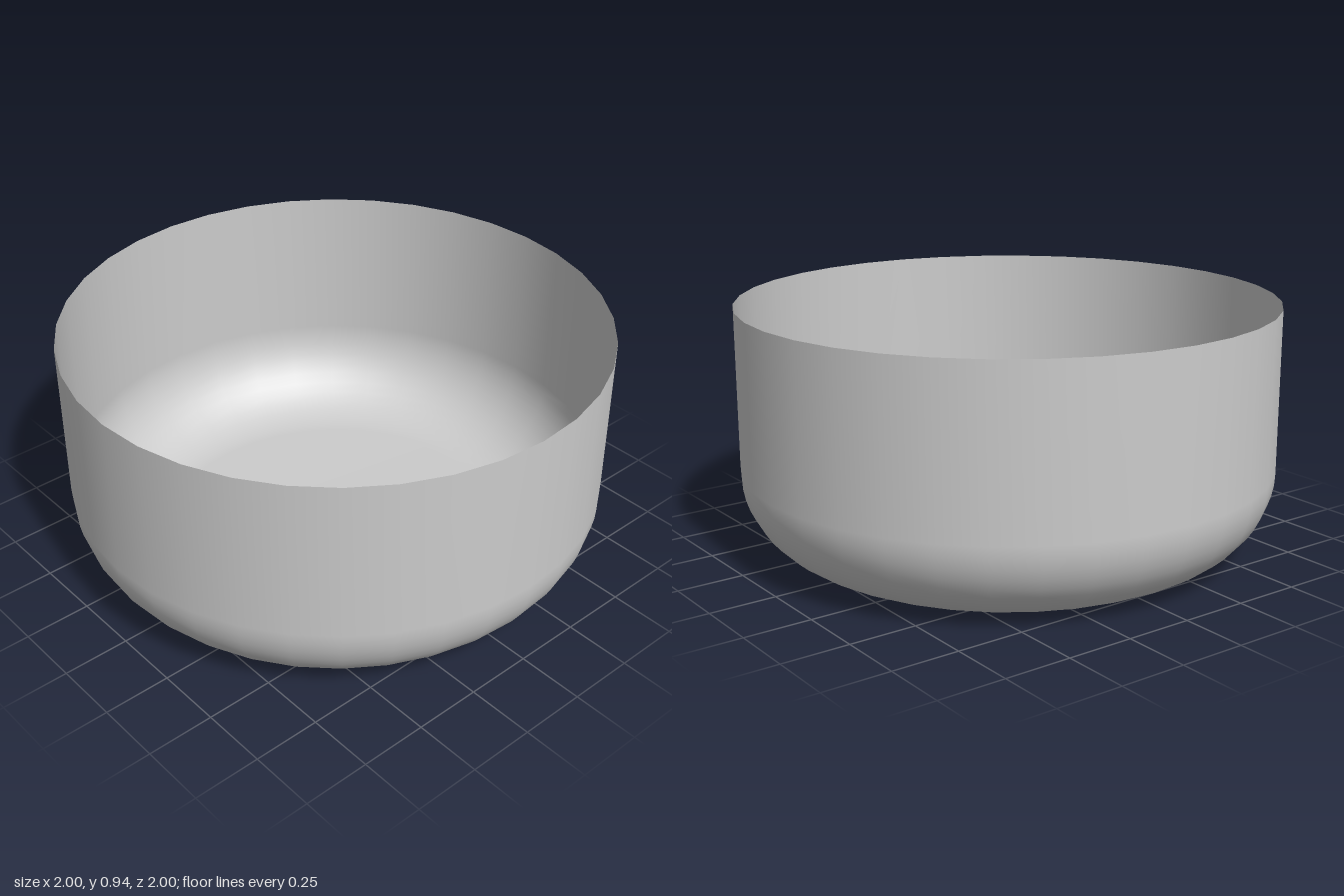
import * as THREE from 'three';

export function createModel() {
  const group = new THREE.Group();
  group.name = 'bowl';

  const radius = 1, height = 0.935, corner = 0.33, steps = 12;

  // Profile: flat base, rounded lower corner, straight wall
  const profile = [new THREE.Vector2(0, 0)];
  for (let i = 0; i <= steps; i++) {
    const a = (i / steps) * Math.PI / 2;
    profile.push(new THREE.Vector2(
      radius - corner + corner * Math.sin(a),
      corner - corner * Math.cos(a)
    ));
  }
  profile.push(new THREE.Vector2(radius, height));

  // Thin open shell
  const shell = new THREE.Mesh(
    new THREE.LatheGeometry(profile, 36),
    new THREE.MeshStandardMaterial({ color: 0xcccccc, side: THREE.DoubleSide })
  );
  shell.name = 'bowlShell';
  group.add(shell);

  return group;
}
